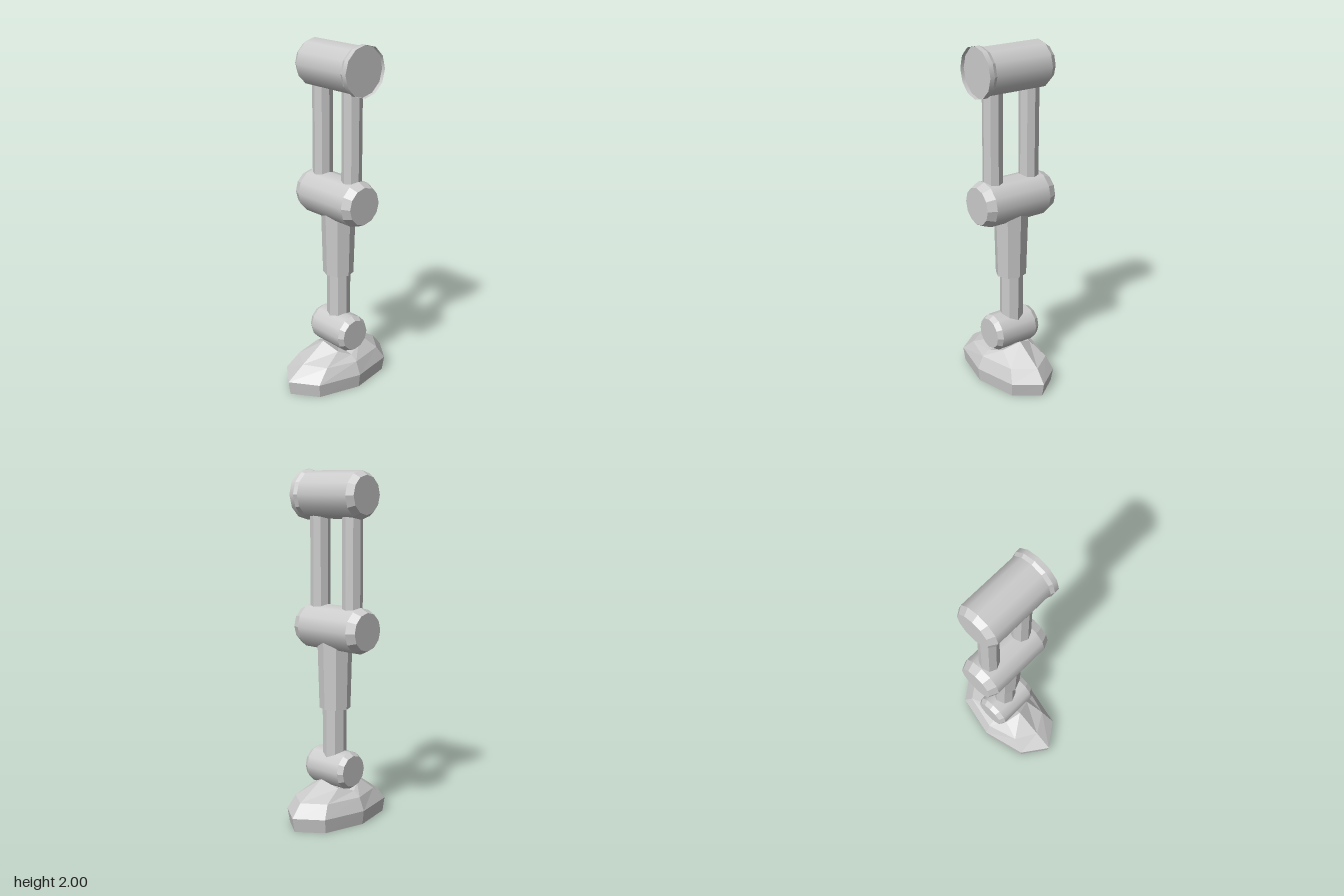
import * as THREE from 'three';

const smooth = new THREE.MeshStandardMaterial({ color: 0xcccccc, side: THREE.DoubleSide });
const flat = new THREE.MeshStandardMaterial({ color: 0xcccccc, flatShading: true, side: THREE.DoubleSide });

function add(parent, name, geometry, material = flat) {
  const mesh = new THREE.Mesh(geometry, material);
  mesh.name = name;
  parent.add(mesh);
  return mesh;
}

// Twelve-sided joint lying along x, made of [x, radius] stations;
// the longest section is smooth and the bevels are faceted
function joint(name, y, z, stations) {
  const group = new THREE.Group();
  group.name = name;
  for (let i = 0; i < stations.length - 1; i++) {
    const [x0, r0] = stations[i], [x1, r1] = stations[i + 1];
    const g = new THREE.CylinderGeometry(r1, r0, x1 - x0, 12, 1, true);
    g.rotateZ(-Math.PI / 2).translate((x0 + x1) / 2, 0, 0);
    add(group, r0 === r1 ? 'barrel' : 'bevel', g, r0 === r1 ? smooth : flat);
  }
  group.position.set(0, y, z);
  return group;
}

function endCap(group, x, r, facing) {
  const g = new THREE.CircleGeometry(r, 12);
  g.rotateY(facing * Math.PI / 2).translate(x, 0, 0);
  add(group, 'endCap', g);
}

// Joint with the same bevel on both ends
function bevelledJoint(name, y, z, x0, x1, r, endR, bevel) {
  const group = joint(name, y, z, [[x0, endR], [x0 + bevel, r], [x1 - bevel, r], [x1, endR]]);
  endCap(group, x0, endR, -1);
  endCap(group, x1, endR, 1);
  return group;
}

// Eight-sided upright bar
function bar(parent, name, x, z, y0, y1, rBottom, rTop, depth = 1) {
  const g = new THREE.CylinderGeometry(rTop, rBottom, y1 - y0, 8);
  g.scale(1, 1, depth).translate(x, (y0 + y1) / 2, z);
  return add(parent, name, g);
}

// Faceted foot: octagonal rings with a saddle on top for the ankle
function footGeometry() {
  // each ring: side x, front z, back z, and heights at tip, diagonal and side
  const rings = [
    { x: 0.2, front: 0.352, back: 0.347, y: [0, 0, 0] },
    { x: 0.21, front: 0.365, back: 0.363, y: [0.08, 0.08, 0.08] },
    { x: 0.178, front: 0.255, back: 0.3, y: [0.155, 0.155, 0.155] },
    { x: 0.135, front: 0.1, back: 0.13, y: [0.255, 0.212, 0.184] },
  ];
  const level = [0, 1, 2, 1, 0, 1, 2, 1];
  const pos = [], index = [];
  for (const r of rings) {
    for (let i = 0; i < 8; i++) {
      const a = i * Math.PI / 4, c = Math.cos(a);
      pos.push(0.013 + r.x * Math.sin(a), r.y[level[i]], c * (c > 0 ? r.front : r.back));
    }
  }
  const bottom = pos.length / 3, top = bottom + 1;
  pos.push(0.013, 0, 0, 0.013, 0.184, -0.018);
  const last = (rings.length - 1) * 8;
  for (let i = 0; i < 8; i++) {
    const j = (i + 1) % 8;
    for (let k = 0; k < last; k += 8) {
      index.push(k + i, k + j, k + 8 + j, k + i, k + 8 + j, k + 8 + i);
    }
    index.push(bottom, j, i, top, last + i, last + j);
  }
  const g = new THREE.BufferGeometry();
  g.setAttribute('position', new THREE.Float32BufferAttribute(pos, 3));
  g.setIndex(index);
  g.computeVertexNormals();
  return g;
}

export function createModel() {
  const leg = new THREE.Group();
  leg.name = 'mechanicalLeg';

  // Hip: bevelled inner end, flared outer rim around a recessed cap
  const hip = joint('hipJoint', 1.858, -0.014,
    [[-0.22, 0.107], [-0.182, 0.132], [0.177, 0.132], [0.198, 0.141], [0.226, 0.141]]);
  endCap(hip, -0.22, 0.107, -1);
  endCap(hip, 0.205, 0.14, 1);
  leg.add(hip);

  // Twin thigh struts
  for (const side of [-1, 1]) {
    bar(leg, side > 0 ? 'leftThighStrut' : 'rightThighStrut', side * 0.121, -0.017, 1.15, 1.82, 0.057, 0.057);
  }

  leg.add(bevelledJoint('kneeJoint', 1.118, -0.016, -0.232, 0.228, 0.13, 0.107, 0.05));

  // Shin: tapered sleeve over a thinner rod
  bar(leg, 'shinSleeve', 0.004, -0.024, 0.66, 1.1, 0.09, 0.102, 0.96);
  bar(leg, 'shinRod', 0.003, -0.028, 0.3, 0.72, 0.068, 0.068);

  leg.add(bevelledJoint('ankleJoint', 0.307, -0.02, -0.135, 0.157, 0.108, 0.09, 0.03));
  add(leg, 'foot', footGeometry());
  return leg;
}
